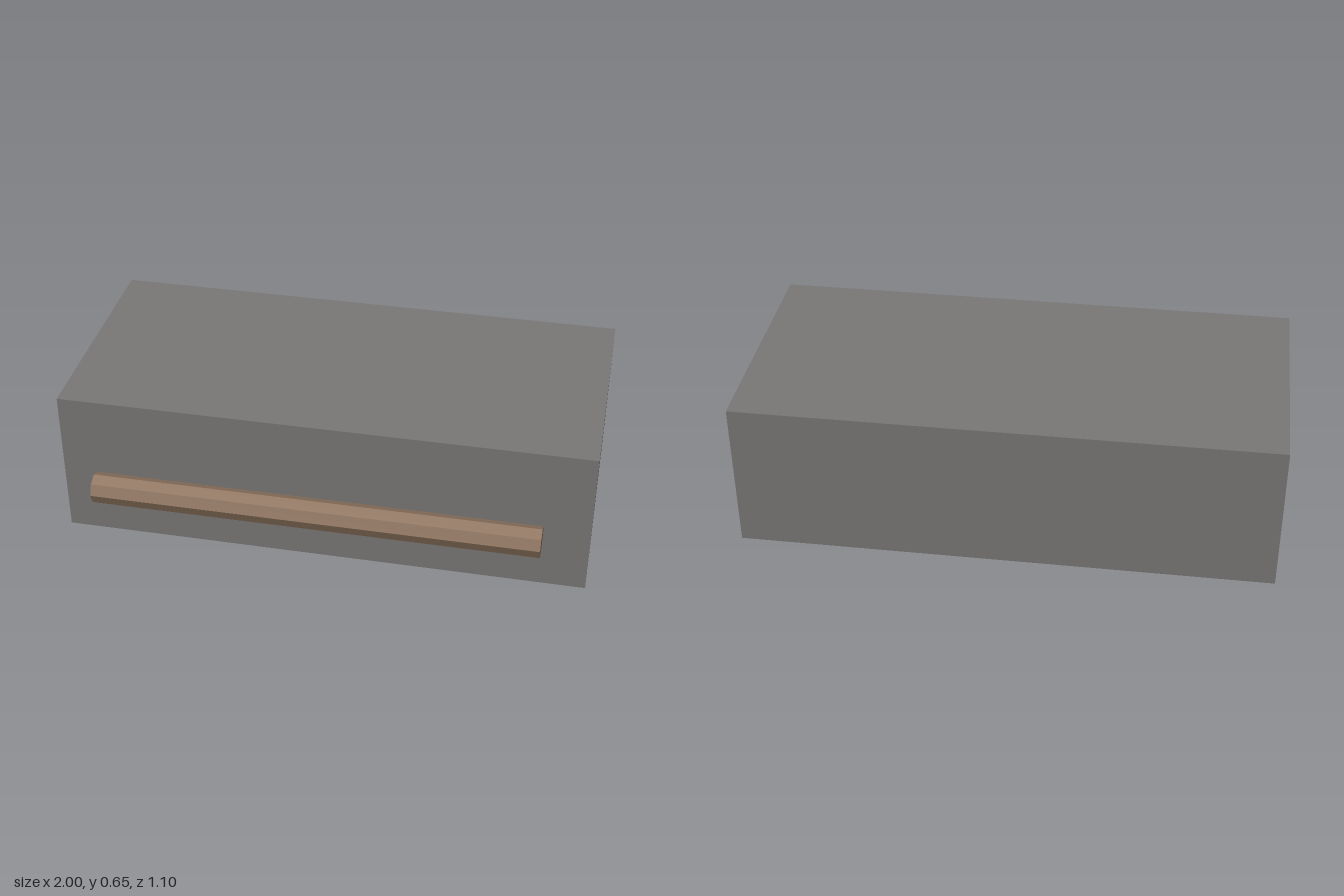
import * as THREE from 'three';

const material = (name, color) => {
  const m = new THREE.MeshStandardMaterial({ color });
  m.name = name;
  return m;
};

// Box given by its minimum and maximum corners
function box(name, min, max, mat) {
  const size = max.map((v, i) => v - min[i]);
  const mesh = new THREE.Mesh(new THREE.BoxGeometry(...size), mat);
  mesh.position.set(...max.map((v, i) => (v + min[i]) / 2));
  mesh.name = name;
  return mesh;
}

export function createModel() {
  const grey = material('grey', 0x797876);
  const charcoal = material('charcoal', 0x4c4c4c);
  const cream = material('cream', 0xa8a797);
  const wood = material('wood brown', 0x8f745f);

  const group = new THREE.Group();
  group.name = 'hood';

  // Main housing
  group.add(box('housing', [-1, 0.07, -0.55], [1, 0.65, 0.367], grey));

  // Underside panels: the vent touches the housing, the lamp hangs just below it
  group.add(box('ventPanel', [-0.842, 0.013, -0.357], [-0.095, 0.07, 0.277], charcoal));
  group.add(box('lampPanel', [0.048, 0.002, -0.024], [0.878, 0.053, 0.277], cream));

  // Eight-sided rail in front; its own normals keep the facets flat
  const rail = new THREE.CylinderGeometry(0.0575, 0.0575, 1.664, 8).toNonIndexed();
  rail.computeVertexNormals();
  rail.rotateZ(Math.PI / 2);
  const frontRail = new THREE.Mesh(rail, wood);
  frontRail.position.set(-0.002, 0.36, 0.4935);
  frontRail.name = 'frontRail';
  group.add(frontRail);

  return group;
}
